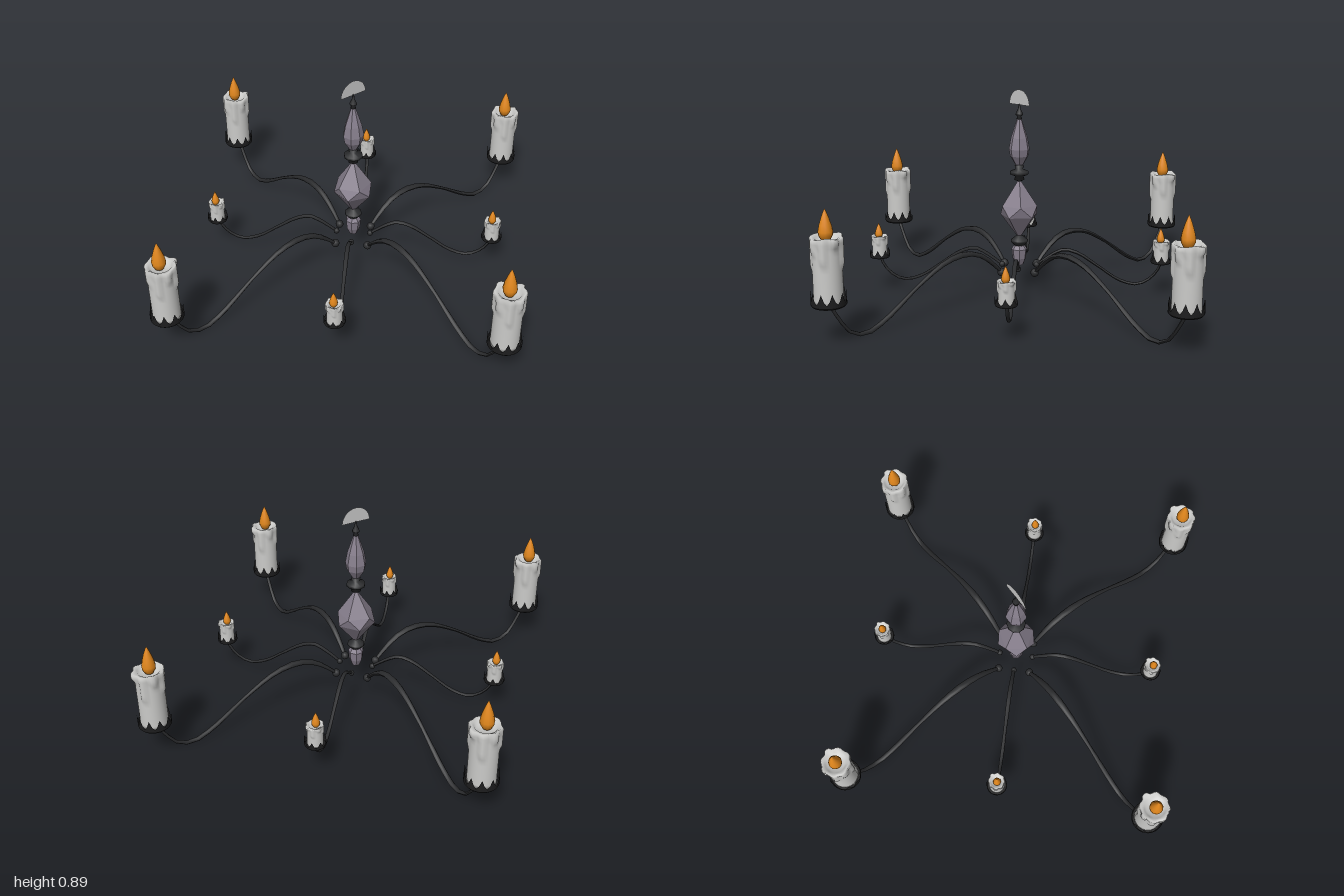
import * as THREE from 'three';
import { mergeVertices } from 'three/addons/utils/BufferGeometryUtils.js';
import { ConvexGeometry } from 'three/addons/geometries/ConvexGeometry.js';

const mat = (name, color, extra = {}) => {
  const m = new THREE.MeshStandardMaterial({ color, ...extra });
  m.name = name;
  return m;
};
const v2 = (list) => list.map(([x, y]) => new THREE.Vector2(x, y));

function smooth(geo) {
  geo.deleteAttribute('uv');
  geo.deleteAttribute('normal');
  const g = mergeVertices(geo, 1e-5);
  g.computeVertexNormals();
  return g;
}

// Candle body: rows of a lathe pushed outwards where wax has run down
function waxGeometry(r, y0, y1) {
  const h = y1 - y0, pts = [[0, y0], [r, y0]];
  for (let i = 1; i <= 16; i++) pts.push([r, y0 + h * i / 16 * 0.98]);
  pts.push([r * 0.92, y1], [r * 0.78, y1 - r * 0.1], [r * 0.6, y1 - r * 0.35], [0, y1 - r * 0.4]);
  const geo = new THREE.LatheGeometry(v2(pts), 40);
  const p = geo.attributes.position;
  // angle, half width, length as part of the height, bulge
  const drips = [[0, 0.3, 0.16, 0.26], [0.8, 0.26, 0.42, 0.15], [1.6, 0.28, 0.25, 0.16], [2.3, 0.22, 0.5, 0.14],
    [3.1, 0.3, 0.3, 0.15], [3.9, 0.24, 0.4, 0.14], [4.7, 0.3, 0.22, 0.17], [5.5, 0.26, 0.48, 0.15]];
  for (let i = 0; i < p.count; i++) {
    const x = p.getX(i), y = p.getY(i), z = p.getZ(i), rad = Math.hypot(x, z);
    if (rad < r * 0.9) continue;
    const a = Math.atan2(z, x), t = (y1 - y) / h;
    let push = t < 0.1 ? 0.06 : 0;
    for (const [c, w, len, b] of drips) {
      const d = Math.abs(Math.atan2(Math.sin(a - c), Math.cos(a - c))) / w;
      if (d < 1 && t < len) push = Math.max(push, b * Math.sqrt(1 - d * d) * Math.min(1, (len - t) / 0.06));
    }
    p.setXYZ(i, x * (1 + push), y + (t < 0.04 ? Math.sin(a * 3) * r * 0.08 : 0), z * (1 + push));
  }
  return smooth(geo);
}

// Holder: a cup whose upper edge is a row of slender points
function crownGeometry(r, y0, valley, tip, teeth) {
  const geo = new THREE.LatheGeometry(v2([[0, y0], [r * 0.93, y0], [r, y0 + 0.006], [r, valley], [r, tip]]), teeth * 4);
  const p = geo.attributes.position;
  const edge = [1, 0.36, 0.02, 0.36];
  for (let i = 4; i < p.count; i += 5) p.setY(i, THREE.MathUtils.lerp(valley, tip, edge[Math.floor(i / 5) % 4]));
  return geo;
}

function flameGeometry(r, y0, y1) {
  const prof = [[0, 0], [0.6, 0.08], [0.95, 0.22], [1, 0.33], [0.82, 0.52], [0.5, 0.74], [0.22, 0.9], [0, 1]];
  return smooth(new THREE.LatheGeometry(v2(prof.map(([a, b]) => [a * r, y0 + b * (y1 - y0)])), 12));
}

// Arm: a slightly flattened tube whose rings follow a list of radii
function armGeometry(path, radii) {
  const curve = new THREE.CatmullRomCurve3(path.map(([x, y]) => new THREE.Vector3(x, y, 0)));
  const n = 20, sides = 6;
  const geo = new THREE.TubeGeometry(curve, n, 1, sides);
  const p = geo.attributes.position, v = new THREE.Vector3();
  for (let i = 0; i <= n; i++) {
    const c = curve.getPointAt(i / n), f = i / n * (radii.length - 1), k = Math.min(Math.floor(f), radii.length - 2);
    const r = THREE.MathUtils.lerp(radii[k], radii[k + 1], f - k);
    for (let j = 0; j <= sides; j++) {
      const id = i * (sides + 1) + j;
      v.fromBufferAttribute(p, id).sub(c).multiplyScalar(r);
      p.setXYZ(id, c.x + v.x * 0.8, c.y + v.y * 0.8, v.z * 1.05);
    }
  }
  geo.computeVertexNormals();
  return geo;
}

export function createModel() {
  const model = new THREE.Group();
  model.name = 'chandelier';
  const iron = mat('black iron', 0x2b2c2e);
  const crownIron = mat('dark holder iron', 0x1d1d1e, { side: THREE.DoubleSide, flatShading: true });
  const stone = mat('mauve stone', 0x857d8b, { flatShading: true });
  const wax = mat('candle wax', 0xcbcbc9);
  const fire = mat('flame orange', 0xe0861c);
  const plate = mat('pale plate', 0xc8c8c8, { side: THREE.DoubleSide });

  const add = (parent, name, geo, material) => {
    const m = new THREE.Mesh(geo, material);
    m.name = name;
    parent.add(m);
    return m;
  };
  const lathe = (pts, sides) => new THREE.LatheGeometry(v2(pts), sides);

  // Central column, bottom to top
  const column = new THREE.Group();
  column.name = 'column';
  model.add(column);
  add(column, 'lowerCup', lathe([[0, 0.13], [0.018, 0.135], [0.03, 0.165], [0.034, 0.205], [0.022, 0.222], [0, 0.222]], 7), stone);
  add(column, 'lowerCollar', lathe([[0, 0.215], [0.02, 0.22], [0.037, 0.238], [0.037, 0.246], [0.016, 0.262], [0, 0.275]], 10), iron);
  const gem = [new THREE.Vector3(0, 0.25, 0), new THREE.Vector3(0, 0.515, 0)];
  for (let i = 0; i < 5; i++) {
    const a = i * Math.PI * 0.4, b = a + Math.PI / 5;
    gem.push(new THREE.Vector3(Math.cos(a) * 0.083, 0.355, Math.sin(a) * 0.083));
    gem.push(new THREE.Vector3(Math.cos(b) * 0.078, 0.4, Math.sin(b) * 0.078));
  }
  add(column, 'gem', new ConvexGeometry(gem), stone);
  add(column, 'upperCollar', lathe([[0, 0.5], [0.022, 0.51], [0.018, 0.525], [0.04, 0.534], [0.04, 0.546],
    [0.016, 0.556], [0.02, 0.57], [0, 0.58]], 10), iron);
  add(column, 'teardrop', lathe([[0, 0.572], [0.018, 0.575], [0.04, 0.612], [0.045, 0.642], [0.036, 0.69], [0.018, 0.745], [0.008, 0.775], [0, 0.778]], 7), stone);
  add(column, 'finial', lathe([[0, 0.765], [0.012, 0.77], [0.008, 0.781], [0.016, 0.787], [0.015, 0.793],
    [0.006, 0.812], [0.003, 0.832], [0, 0.834]], 8), iron);
  const fan = add(column, 'topPlate', new THREE.CircleGeometry(0.064, 16, 0, Math.PI), plate);
  fan.position.y = 0.829;

  // Arms and candles: four large on the axes, four small on the diagonals
  const sets = [
    { name: 'large', turn: 0, reach: 0.93, ball: 0.018,
      path: [[0.1, 0.12], [0.17, 0.185], [0.235, 0.223], [0.31, 0.234], [0.4, 0.215], [0.52, 0.152],
        [0.7, 0.036], [0.78, 0.008], [0.845, 0.03], [0.89, 0.088], [0.93, 0.16]],
      radii: [0.008, 0.013, 0.015, 0.011, 0.008, 0.011, 0.011, 0.008, 0.008],
      wax: [0.056, 0.165, 0.42], crown: [0.067, 0.155, 0.172, 0.215, 10], flame: [0.028, 0.395, 0.525] },
    { name: 'small', turn: Math.PI / 4, reach: 0.61, ball: 0.013,
      path: [[0.075, 0.135], [0.13, 0.175], [0.19, 0.205], [0.25, 0.192], [0.34, 0.135], [0.43, 0.076],
        [0.505, 0.058], [0.56, 0.082], [0.595, 0.122], [0.61, 0.16]],
      radii: [0.007, 0.009, 0.009, 0.007, 0.008, 0.007, 0.007],
      wax: [0.032, 0.16, 0.252], crown: [0.044, 0.155, 0.165, 0.193, 8], flame: [0.017, 0.236, 0.307] },
  ];
  for (const s of sets) {
    const armGeo = armGeometry(s.path, s.radii), ballGeo = new THREE.SphereGeometry(s.ball, 10, 8);
    const waxGeo = waxGeometry(...s.wax), crownGeo = crownGeometry(...s.crown), flameGeo = flameGeometry(...s.flame);
    for (let i = 0; i < 4; i++) {
      const a = s.turn + i * Math.PI / 2;
      const arm = new THREE.Group();
      arm.name = s.name + 'Arm';
      arm.rotation.y = a;
      add(arm, 'curvedArm', armGeo, iron);
      add(arm, 'armBall', ballGeo, iron).position.set(s.path[0][0], s.path[0][1], 0);
      model.add(arm);

      const candle = new THREE.Group();
      candle.name = s.name + 'Candle';
      candle.position.set(Math.cos(a) * s.reach - 0.003, 0, -Math.sin(a) * s.reach);
      add(candle, 'holder', crownGeo, crownIron);
      add(candle, 'wax', waxGeo, wax);
      add(candle, 'flame', flameGeo, fire).position.x = -0.004;
      model.add(candle);
    }
  }
  return model;
}
